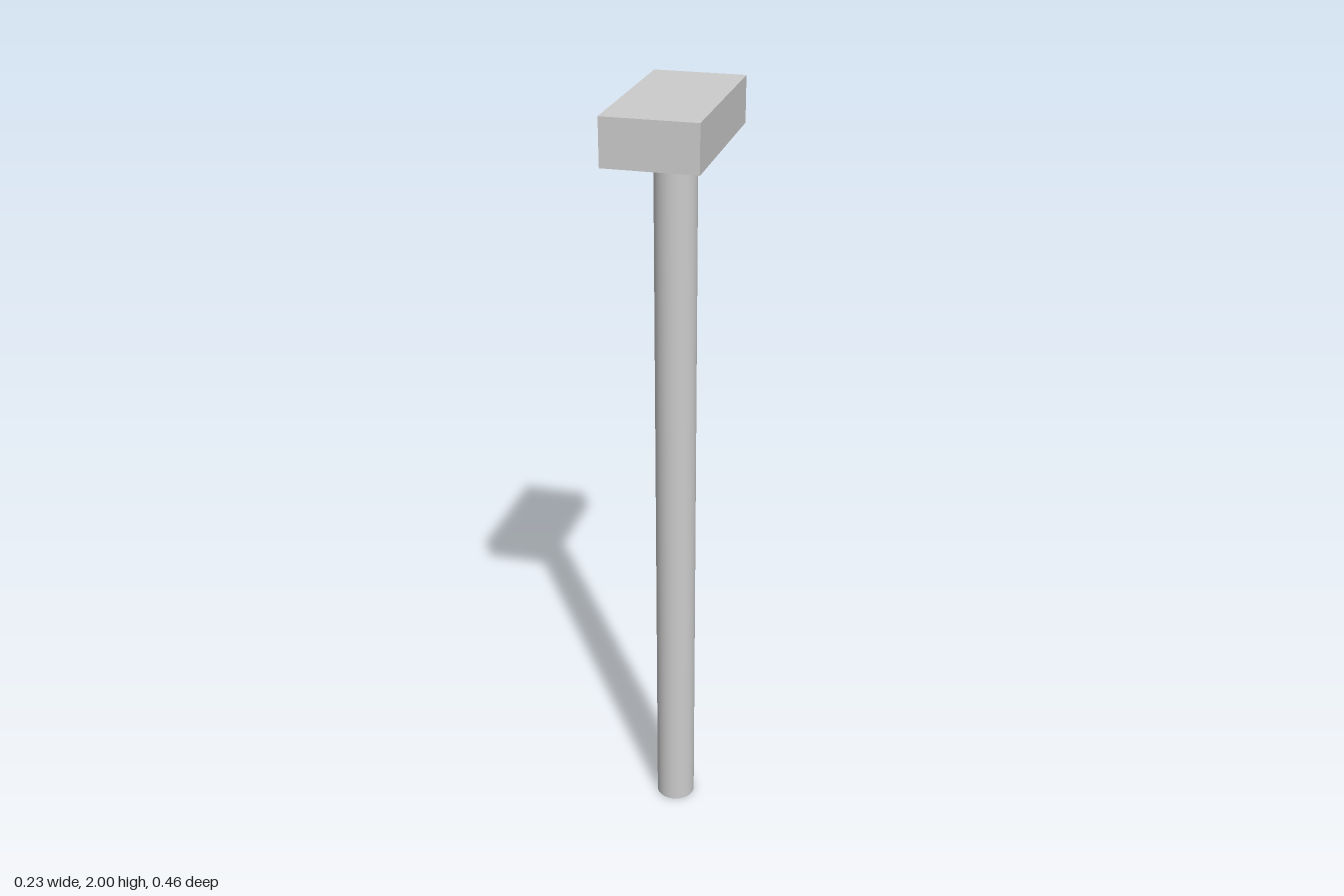
import * as THREE from 'three';

const HEIGHT = 2;
const HEAD = { width: 0.228, height: 0.114, depth: 0.458 };
const SHAFT_RADIUS = 0.052;

export function createModel() {
  const group = new THREE.Group();
  group.name = 'tHeadBolt';
  const material = new THREE.MeshStandardMaterial({ color: 0xcccccc });

  // Round shaft, standing on the ground and ending under the head
  const shaftLength = HEIGHT - HEAD.height;
  const shaft = new THREE.Mesh(
    new THREE.CylinderGeometry(SHAFT_RADIUS, SHAFT_RADIUS, shaftLength, 48),
    material
  );
  shaft.name = 'shaft';
  shaft.position.y = shaftLength / 2;

  // Rectangular head, long side along z
  const head = new THREE.Mesh(
    new THREE.BoxGeometry(HEAD.width, HEAD.height, HEAD.depth),
    material
  );
  head.name = 'head';
  head.position.y = HEIGHT - HEAD.height / 2;

  group.add(shaft, head);
  return group;
}
